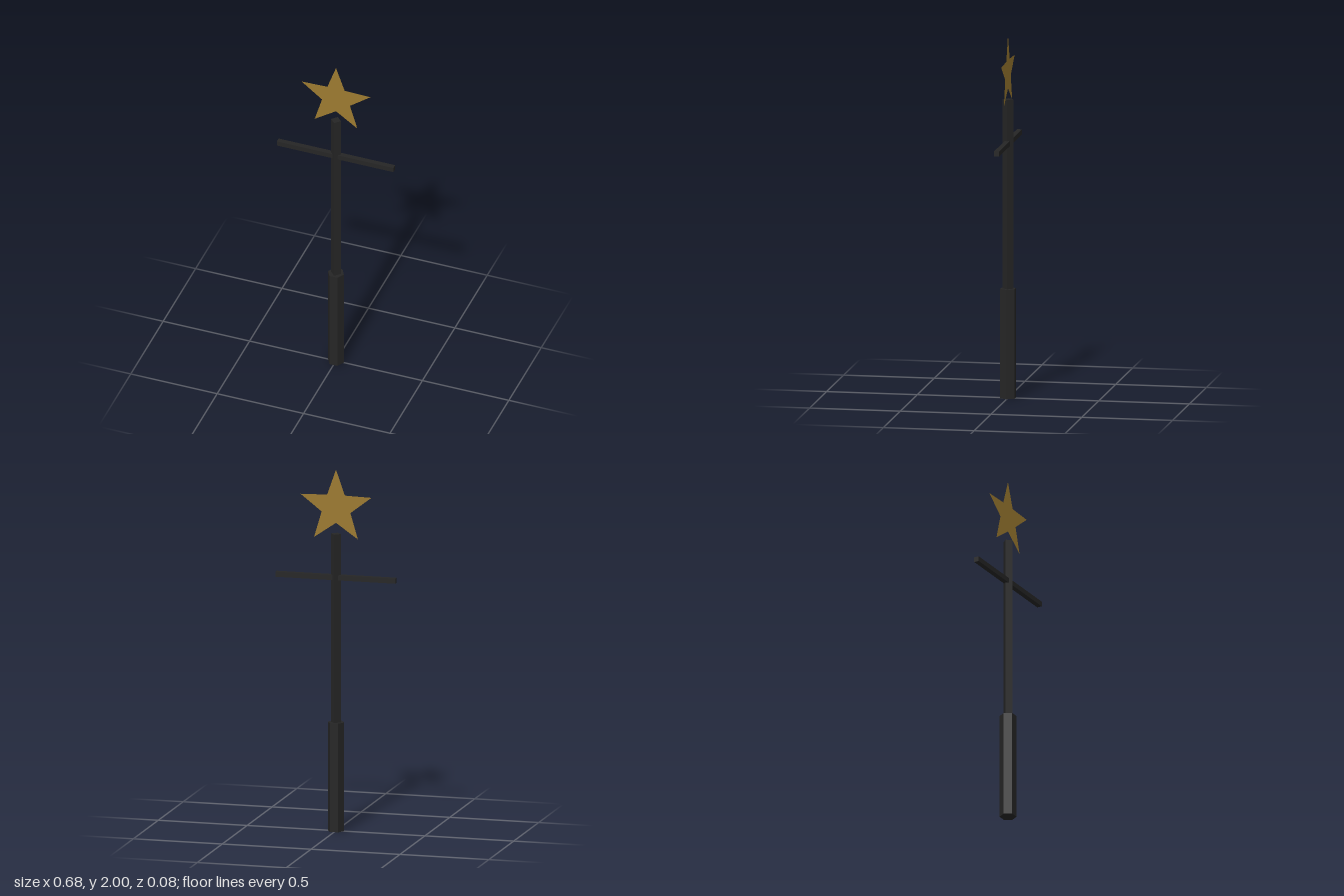
import * as THREE from 'three';

export function createModel() {
  const group = new THREE.Group();
  const iron = new THREE.MeshStandardMaterial({ color: 0x252525, flatShading: true });
  iron.name = 'black iron';
  const gold = new THREE.MeshStandardMaterial({ color: 0x9c7a30, side: THREE.DoubleSide });
  gold.name = 'old gold';

  const add = (name, geometry, material, y) => {
    const mesh = new THREE.Mesh(geometry, material);
    mesh.name = name;
    mesh.position.y = y;
    group.add(mesh);
  };

  // Upright post with a corner facing the front
  const prism = (radius, height, sides) => new THREE.CylinderGeometry(radius, radius, height, sides);
  add('pole', prism(0.029, 1.045, 4), iron, 1.1225);

  // Six-sided sleeve at the foot, corners pointing left and right
  add('base', prism(0.046, 0.602, 6).rotateY(Math.PI / 6), iron, 0.301);

  // Thin square arm
  add('crossbar', new THREE.BoxGeometry(0.675, 0.028, 0.028), iron, 1.404);

  // Flat five-pointed star
  const points = [];
  for (let i = 0; i < 10; i++) {
    const r = i % 2 ? 0.085 : 0.21;
    const a = Math.PI / 2 + (i * Math.PI) / 5;
    points.push(new THREE.Vector2(r * Math.cos(a), r * Math.sin(a)));
  }
  add('star', new THREE.ShapeGeometry(new THREE.Shape(points)), gold, 1.79);

  return group;
}
